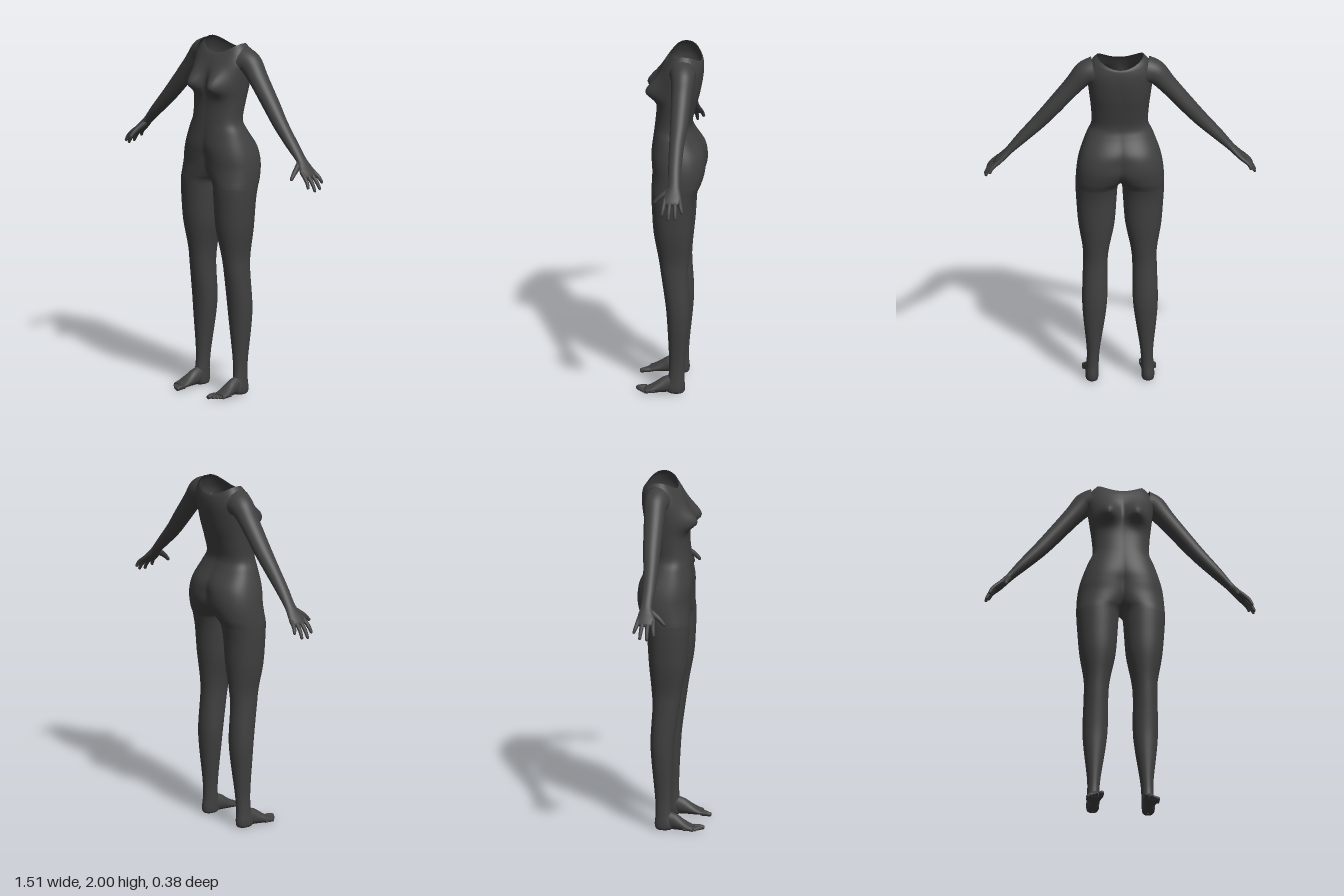
import * as THREE from 'three';
import { mergeVertices } from 'three/addons/utils/BufferGeometryUtils.js';

// Catmull-Rom through rows of numbers, u from 0 to 1
function spline(rows, u) {
  const n = rows.length - 1;
  const f = u * n;
  const i = Math.min(Math.floor(f), n - 1);
  const t = f - i;
  const at = (k) => rows[Math.max(0, Math.min(n, k))];
  const [a, b, c, d] = [at(i - 1), at(i), at(i + 1), at(i + 2)];
  return b.map((_, k) => 0.5 * (2 * b[k] + (c[k] - a[k]) * t
    + (2 * a[k] - 5 * b[k] + 4 * c[k] - d[k]) * t * t
    + (3 * b[k] - a[k] - 3 * c[k] + d[k]) * t * t * t));
}

// Smooth surface from point(row, column); optionally joined to its mirror image
function surface(rows, cols, point, sides = [1]) {
  const pos = [], index = [];
  for (const side of sides) {
    const base = pos.length / 3;
    for (let i = 0; i <= rows; i++) {
      for (let j = 0; j <= cols; j++) {
        const [x, y, z] = point(i / rows, j / cols);
        pos.push(x * side, y, z);
      }
    }
    for (let i = 0; i < rows; i++) {
      for (let j = 0; j < cols; j++) {
        const a = base + i * (cols + 1) + j, b = a + 1, c = a + cols + 1, d = c + 1;
        if (side > 0) index.push(a, b, c, b, d, c);
        else index.push(a, c, b, b, c, d);
      }
    }
  }
  const g = new THREE.BufferGeometry();
  g.setAttribute('position', new THREE.Float32BufferAttribute(pos, 3));
  g.setIndex(index);
  const merged = mergeVertices(g, 1e-5);
  merged.computeVertexNormals();
  return merged;
}

// Elliptical limb along stations [x, y, z, thickness radius, side radius], rounded from u = round
function limb(stations, across, side, rows, cols, round) {
  const s0 = new THREE.Vector3(...across);
  const centre = (u) => new THREE.Vector3(...spline(stations, u).slice(0, 3));
  return surface(rows, cols, (u, v) => {
    const st = spline(stations, u);
    const t = centre(Math.min(1, u + 0.01)).sub(centre(Math.max(0, u - 0.01))).normalize();
    const s = s0.clone().addScaledVector(t, -s0.dot(t)).normalize();
    const n = s.clone().cross(t);
    const k = u > round ? Math.sqrt(Math.max(0, 1 - ((u - round) / (1 - round)) ** 2)) : 1;
    const a = v * Math.PI * 2;
    return new THREE.Vector3(st[0], st[1], st[2])
      .addScaledVector(n, st[3] * k * Math.cos(a))
      .addScaledVector(s, st[4] * k * Math.sin(a)).toArray();
  }, [side]);
}

// Half-body sections: [y, centre x, radius x, front z, back z, midline dip]
const BODY = [
  [0, 0.155, 0.004, -0.03, -0.04, 0],
  [0.006, 0.155, 0.03, 0.01, -0.075, 0],
  [0.035, 0.155, 0.036, 0.025, -0.085, 0],
  [0.1, 0.152, 0.034, 0.008, -0.08, 0],
  [0.2, 0.148, 0.037, 0.005, -0.085, 0],
  [0.4, 0.143, 0.062, 0.015, -0.105, 0],
  [0.52, 0.14, 0.07, 0.025, -0.11, 0],
  [0.7, 0.137, 0.068, 0.05, -0.1, 0],
  [0.8, 0.133, 0.073, 0.065, -0.105, 0],
  [0.95, 0.13, 0.1, 0.092, -0.12, 0],
  [1.1, 0.13, 0.112, 0.102, -0.13, 0],
  [1.18, 0.129, 0.117, 0.105, -0.145, 0],
  [1.21, 0.123, 0.123, 0.105, -0.158, 0],
  [1.24, 0.108, 0.137, 0.104, -0.172, 0],
  [1.3, 0.085, 0.156, 0.103, -0.189, 0],
  [1.36, 0.075, 0.157, 0.107, -0.19, 0],
  [1.42, 0.055, 0.16, 0.109, -0.178, 0],
  [1.5, 0.03, 0.154, 0.1, -0.132, 0],
  [1.56, 0.02, 0.138, 0.093, -0.113, 0],
  [1.65, 0.02, 0.14, 0.085, -0.132, 0],
  [1.75, 0.025, 0.146, 0.085, -0.158, 0],
  [1.84, 0.02, 0.162, 0.074, -0.173, 0],
  [1.9, 0.01, 0.175, 0.055, -0.176, 0.005],
  [1.96, 0, 0.16, 0.035, -0.172, 0.03],
  [1.995, 0, 0.13, 0.022, -0.165, 0.055],
];

function bodyPoint(u, v) {
  const [y, cx, rx, zf, zb, dip] = spline(BODY, u);
  // closed ring on the legs, open half ring ending on the midline above them
  const start = Math.acos(THREE.MathUtils.clamp(-cx / rx, -1, 1));
  const phi = start * (1 - 2 * v);
  const sin = Math.sin(phi);
  let x = Math.max(0, cx + rx * Math.cos(phi));
  if (start < Math.PI && (v === 0 || v === 1)) x = 0;
  let z = (zf + zb) / 2 + (zf - zb) / 2 * Math.sign(sin) * Math.abs(sin) ** 0.85;
  if (sin > 0) { // bust
    const h = y - 1.765;
    z += 0.068 * Math.exp(-(((x - 0.085) / 0.055) ** 2) - (h / (h > 0 ? 0.075 : 0.045)) ** 2);
  }
  return [x, y - dip * sin * sin, z];
}

// Shoulder to palm
const ARM = [
  [0.148, 1.9, -0.07, 0.083, 0.075],
  [0.197, 1.887, -0.075, 0.067, 0.066],
  [0.262, 1.815, -0.073, 0.053, 0.057],
  [0.375, 1.68, -0.068, 0.046, 0.049],
  [0.45, 1.593, -0.062, 0.041, 0.042],
  [0.54, 1.5, -0.06, 0.032, 0.037],
  [0.61, 1.427, -0.062, 0.022, 0.033],
  [0.645, 1.39, -0.06, 0.02, 0.043],
  [0.675, 1.36, -0.057, 0.018, 0.054],
  [0.7, 1.334, -0.057, 0.013, 0.052],
];

// [base z, tip x, tip y, tip z]
const FINGERS = [
  [-0.016, 0.735, 1.286, -0.002],
  [-0.044, 0.751, 1.266, -0.04],
  [-0.072, 0.75, 1.271, -0.08],
  [-0.097, 0.728, 1.3, -0.117],
];
const THUMB = [
  [0.622, 1.405, -0.045, 0.015, 0.02],
  [0.64, 1.368, 0.01, 0.013, 0.014],
  [0.648, 1.328, 0.05, 0.009, 0.009],
];

// Instep to ball of the foot
const FOOT = [
  [0.152, 0.062, -0.03, 0.05, 0.03],
  [0.153, 0.05, 0.02, 0.046, 0.034],
  [0.157, 0.037, 0.06, 0.034, 0.039],
  [0.16, 0.025, 0.1, 0.022, 0.045],
  [0.161, 0.017, 0.14, 0.014, 0.044],
];

export function createModel() {
  const model = new THREE.Group();
  const charcoal = new THREE.MeshStandardMaterial({ color: 0x404040, side: THREE.DoubleSide });
  charcoal.name = 'charcoal';
  const add = (name, geometry) => {
    const mesh = new THREE.Mesh(geometry, charcoal);
    mesh.name = name;
    model.add(mesh);
  };

  // torso and legs in one skin, open at the neck
  add('torsoAndLegs', surface(144, 40, bodyPoint, [1, -1]));

  for (const side of [1, -1]) {
    const tag = side > 0 ? 'left' : 'right';
    const Z = [0, 0, 1], X = [1, 0, 0];
    add(tag + 'Arm', limb(ARM, Z, side, 72, 28, 0.94));
    add(tag + 'Thumb', limb(THUMB, Z, side, 20, 12, 0.85));
    FINGERS.forEach(([bz, x, y, z], i) => {
      const path = [
        [0.672, 1.364, bz, 0.012, 0.013],
        [(0.685 + x) / 2 + 0.005, (1.35 + y) / 2 + 0.006, (bz + z) / 2, 0.011, 0.011],
        [x, y, z, 0.008, 0.008],
      ];
      add(tag + 'Finger' + (i + 1), limb(path, Z, side, 20, 12, 0.85));
    });

    add(tag + 'Foot', limb(FOOT, X, side, 32, 24, 0.92));
    for (let i = 0; i < 5; i++) { // big toe first
      const r = i === 0 ? 0.014 : 0.0095 - i * 0.0004;
      const x = i === 0 ? 0.126 : 0.136 + i * 0.0152;
      const tip = 0.19 - i * 0.0125;
      const path = [
        [x, 0.018, tip - 0.06, r, r],
        [x, 0.017, tip - 0.025, r, r],
        [x, 0.011, tip, r * 0.8, r * 0.9],
      ];
      add(tag + 'Toe' + (i + 1), limb(path, X, side, 16, 12, 0.8));
    }
  }
  return model;
}
